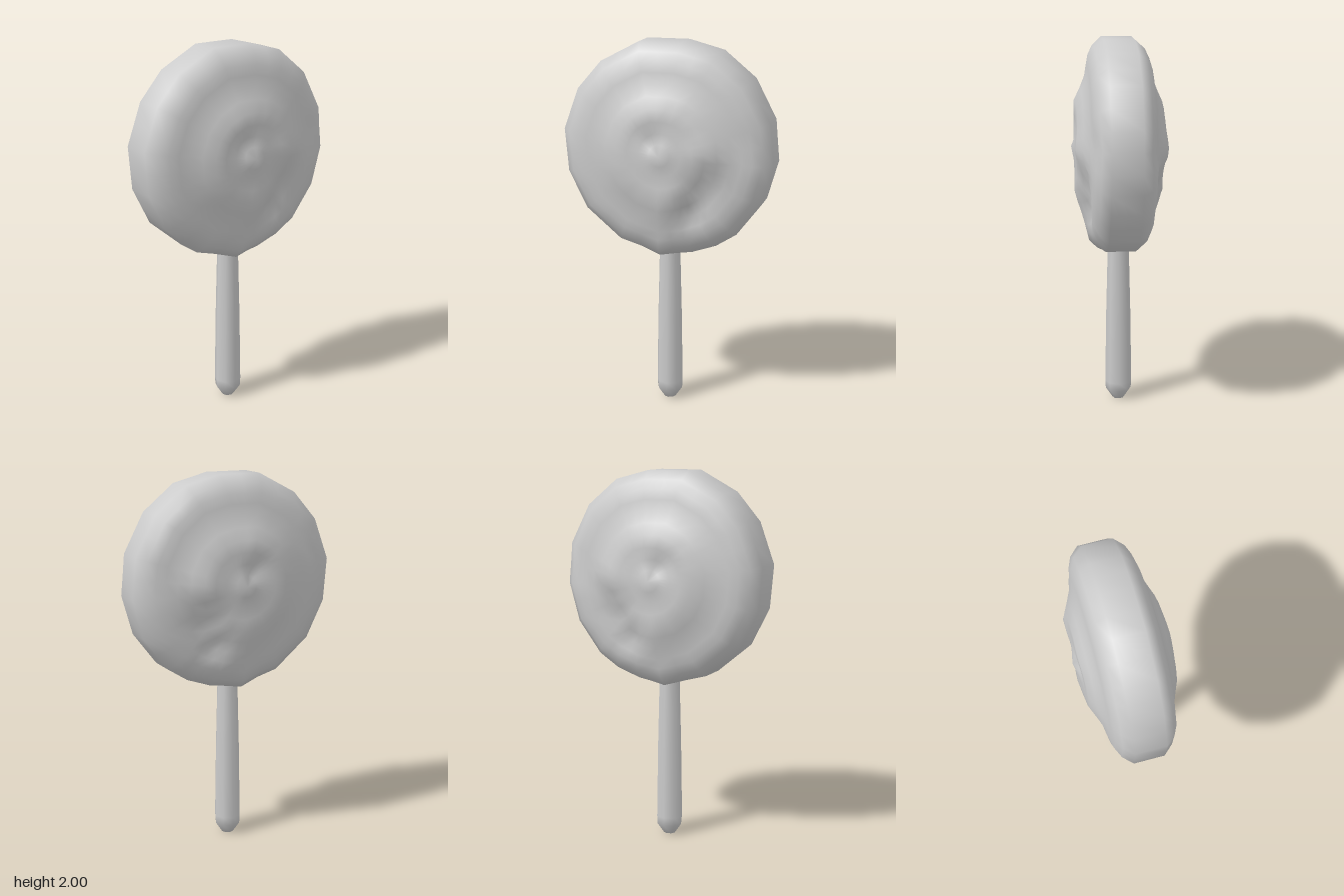
import * as THREE from 'three';
import { mergeVertices } from 'three/addons/utils/BufferGeometryUtils.js';

const CENTRE_Y = 1.435;

// Slightly irregular rim of the candy, clockwise from the top
const RIM = [
  [-0.15, 2], [0.08, 2], [0.27, 1.95], [0.44, 1.81], [0.55, 1.6], [0.57, 1.38],
  [0.51, 1.17], [0.38, 1.0], [0.27, 0.93], [0.14, 0.885], [-0.03, 0.865],
  [-0.26, 0.93], [-0.45, 1.09], [-0.55, 1.29], [-0.57, 1.52], [-0.49, 1.74], [-0.36, 1.89],
];

// Half thickness from the middle to the rim: [fraction of rim radius, z]
const PROFILE = [
  [0, 0.235], [0.1, 0.232], [0.2, 0.23], [0.31, 0.23], [0.42, 0.227], [0.53, 0.2],
  [0.64, 0.175], [0.74, 0.165], [0.83, 0.155], [0.92, 0.13], [1, 0.08],
];

// Soft bumps and dents of the face: [x, y, radius, height]
const BUMPS = [
  [0, 1.43, 0.06, 0.02], [-0.05, 1.51, 0.06, -0.022], [-0.05, 1.63, 0.08, 0.008],
  [0.24, 1.44, 0.09, 0.015], [0.46, 1.5, 0.07, -0.015],
  [0, 1.08, 0.12, 0.025], [0.26, 1.34, 0.06, -0.025], [0.21, 1.24, 0.07, -0.045],
  [0.15, 1.12, 0.07, -0.035], [-0.02, 0.87, 0.07, 0.035],
];

function halfThickness(x, y, z) {
  for (const [bx, by, r, h] of BUMPS) {
    z += h * Math.exp(-((x - bx) ** 2 + (y - by) ** 2) / (r * r));
  }
  return z;
}

function candyGeometry() {
  // Halve each rim edge so the face can carry its dents
  const outline = RIM.flatMap((p, i) => {
    const q = RIM[(i + 1) % RIM.length];
    return [p, [(p[0] + q[0]) / 2, (p[1] + q[1]) / 2]];
  });
  const n = outline.length;
  // Rings run from the front middle over the rim to the back middle
  const rings = [
    ...PROFILE.map(([s, z]) => [s, z, 1]),
    ...PROFILE.slice().reverse().map(([s, z]) => [s, z, -1]),
  ];
  const positions = [];
  const index = [];
  rings.forEach(([s, z, side], j) => {
    outline.forEach(([ox, oy], i) => {
      const x = ox * s;
      const y = CENTRE_Y + (oy - CENTRE_Y) * s;
      positions.push(x, y, side * halfThickness(x, y, z));
      if (j === rings.length - 1) return;
      const k = (i + 1) % n;
      const a = j * n + i, b = (j + 1) * n + i, c = (j + 1) * n + k, d = j * n + k;
      if (j < rings.length - 2) index.push(a, c, b);
      if (j > 0) index.push(a, d, c);
    });
  });
  const geometry = new THREE.BufferGeometry();
  geometry.setAttribute('position', new THREE.Float32BufferAttribute(positions, 3));
  geometry.setIndex(index);
  const merged = mergeVertices(geometry);
  merged.computeVertexNormals();
  return merged;
}

export function createModel() {
  const group = new THREE.Group();
  group.name = 'lollipop';
  const material = new THREE.MeshStandardMaterial({ color: 0xcccccc });

  const candy = new THREE.Mesh(candyGeometry(), material);
  candy.name = 'candy';
  group.add(candy);

  // Tapered stick with a blunt lower end, running up into the candy
  const stickProfile = [
    [0, 0], [0.032, 0], [0.07, 0.055], [0.073, 0.1], [0.067, 0.5], [0.058, 0.86], [0.055, 1.0],
  ].map(([r, y]) => new THREE.Vector2(r, y));
  const stick = new THREE.Mesh(new THREE.LatheGeometry(stickProfile, 8), material);
  stick.name = 'stick';
  stick.position.x = -0.005;
  group.add(stick);

  return group;
}
